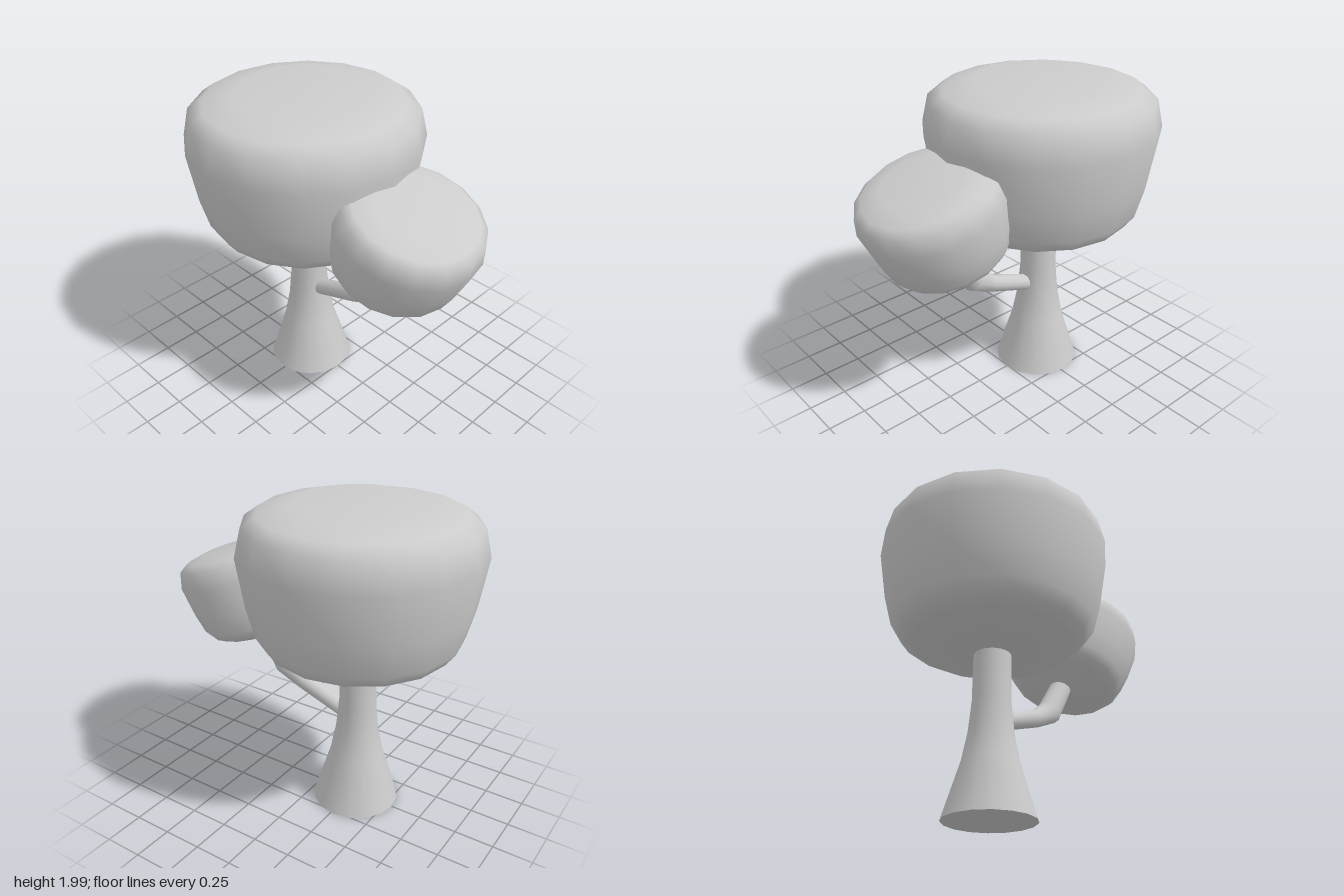
import * as THREE from 'three';

const SIDES = 16;
const AXIS_Z = -0.27; // trunk and main crown share this axis

const material = new THREE.MeshStandardMaterial({ color: 0xcccccc });

function addMesh(parent, name, geometry) {
  const mesh = new THREE.Mesh(geometry, material);
  mesh.name = name;
  parent.add(mesh);
  return mesh;
}

// Smooth lathe from [radius, height] pairs, listed bottom to top
function lathe(profile) {
  return new THREE.LatheGeometry(profile.map(([r, y]) => new THREE.Vector2(r, y)), SIDES);
}

// Crown profile, measured from the underside
const crownProfile = [
  [0, -0.02], [0.12, 0], [0.48, 0.06], [0.57, 0.11], [0.63, 0.19], [0.68, 0.38],
  [0.73, 0.69], [0.69, 0.86], [0.605, 0.92], [0.41, 0.97], [0, 0.972],
];

// Tapered limb: cylinder rows moved onto rings of [z, y, radius, slope in degrees]
function limb(rings, sides) {
  const geometry = new THREE.CylinderGeometry(1, 1, 1, sides, rings.length - 1, true);
  const pos = geometry.attributes.position;
  for (let i = 0; i < pos.count; i++) {
    const row = rings.length - 1 - Math.floor(i / (sides + 1));
    const [z, y, r, slope] = rings[row];
    const a = THREE.MathUtils.degToRad(slope);
    const px = pos.getX(i) * r;
    const pz = pos.getZ(i) * r;
    pos.setXYZ(i, px, y - pz * Math.cos(a), z + pz * Math.sin(a));
  }
  geometry.computeVertexNormals();
  return geometry;
}

export function createModel() {
  const tree = new THREE.Group();
  tree.name = 'tree';

  // Trunk flaring toward the ground, with a flat base
  const trunk = new THREE.Group();
  trunk.name = 'trunk';
  trunk.position.z = AXIS_Z;
  tree.add(trunk);
  addMesh(trunk, 'trunkBody', lathe([
    [0.277, 0], [0.17, 0.35], [0.137, 0.52], [0.118, 0.72], [0.116, 1.08],
  ]));
  addMesh(trunk, 'trunkBase', new THREE.CircleGeometry(0.277, SIDES).rotateX(Math.PI / 2));

  // Main crown on top of the trunk
  const mainCrown = addMesh(tree, 'mainCrown', lathe(crownProfile));
  mainCrown.position.set(0, 1.02, AXIS_Z);

  // Smaller crown tilted forward
  const sideCrown = addMesh(tree, 'sideCrown', lathe(crownProfile));
  sideCrown.scale.setScalar(0.618);
  sideCrown.position.set(0, 1.02, 0.428);
  sideCrown.rotation.x = THREE.MathUtils.degToRad(18.7);

  // Bent branch carrying the smaller crown
  addMesh(tree, 'branch', limb([
    [-0.25, 0.59, 0.052, 20], [0.14, 0.733, 0.056, 24], [0.28, 0.82, 0.08, 45],
    [0.42, 1.05, 0.071, 60], [0.46, 1.13, 0.07, 62],
  ], 12));

  return tree;
}
